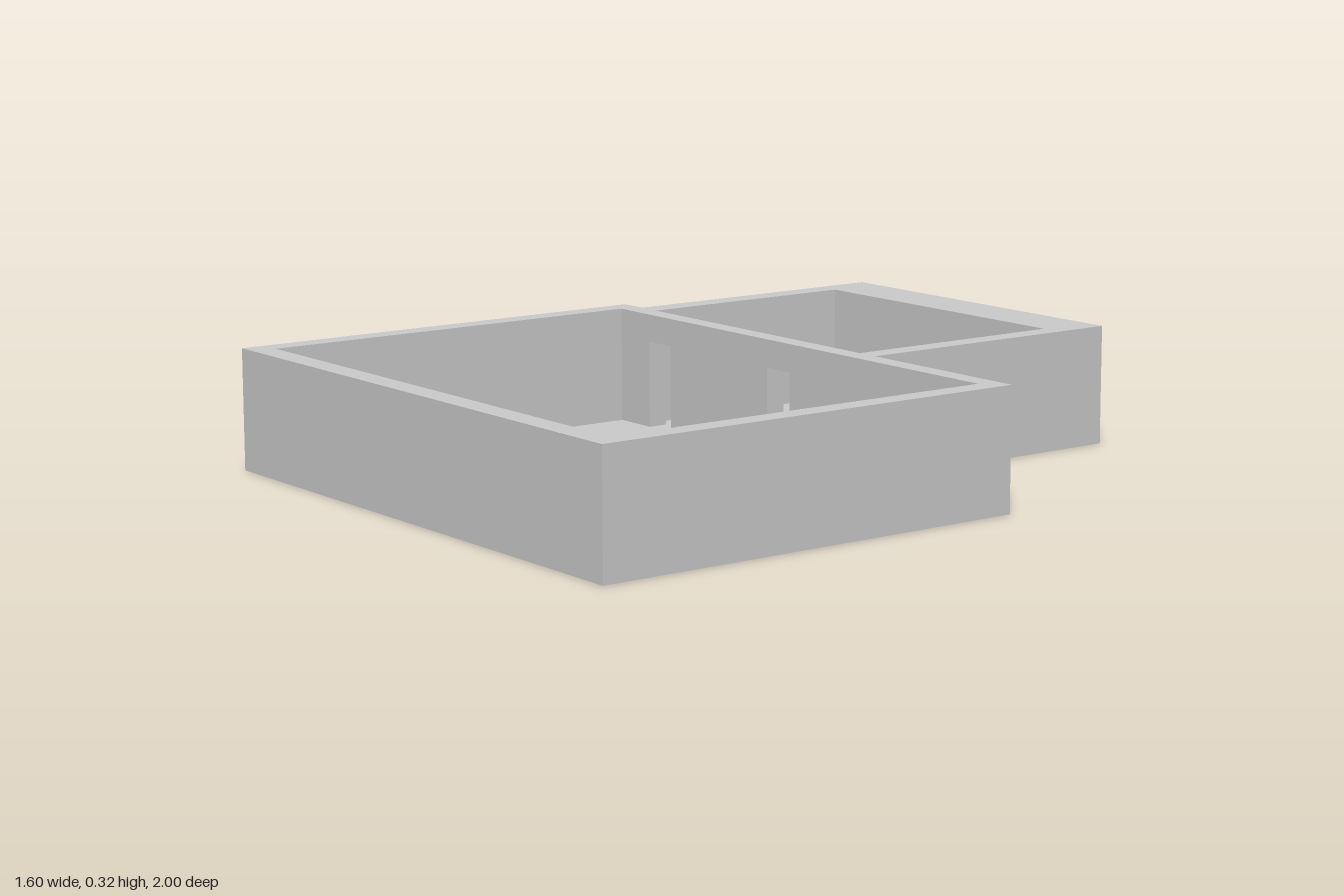
import * as THREE from 'three';

const material = new THREE.MeshStandardMaterial({ color: 0xcccccc, flatShading: true });
const FLOOR = 0.008, TOP = 0.32, DOOR_TOP = 0.245;
const BACK = -0.21; // outer face of the shared wall

const shapeOf = (points) => new THREE.Shape(points.map(([x, y]) => new THREE.Vector2(x, y)));

// Extrudes a plan given as [x, z] corners from height y0 to y1
function extrudePlan(name, plan, y0, y1) {
  const shape = shapeOf(plan.map(([x, z]) => [x, -z]));
  const geometry = new THREE.ExtrudeGeometry(shape, { depth: y1 - y0, bevelEnabled: false });
  geometry.rotateX(-Math.PI / 2).translate(0, y0, 0);
  const mesh = new THREE.Mesh(geometry, material);
  mesh.name = name;
  return mesh;
}

export function createModel() {
  const group = new THREE.Group();
  group.name = 'floorPlan';

  // Thin slab under both rooms
  group.add(extrudePlan('floor', [
    [-0.8, 1], [0.8, 1], [0.8, BACK], [0.285, BACK],
    [0.285, -1], [-0.72, -1], [-0.72, BACK], [-0.8, BACK],
  ], 0, FLOOR));

  // Three outer walls of the large room
  const inner = -0.155;
  group.add(extrudePlan('largeRoomWalls', [
    [-0.8, inner], [-0.8, 1], [0.8, 1], [0.8, inner],
    [0.74, inner], [0.74, 0.935], [-0.74, 0.935], [-0.74, inner],
  ], FLOOR, TOP));

  // Three outer walls of the small room
  group.add(extrudePlan('smallRoomWalls', [
    [-0.72, BACK], [-0.655, BACK], [-0.655, -0.845], [0.225, -0.845],
    [0.225, BACK], [0.285, BACK], [0.285, -1], [-0.72, -1],
  ], FLOOR, TOP));

  // Shared wall with two door openings cut up from the floor
  const outline = [[0.8, FLOOR], [0.8, TOP], [-0.8, TOP], [-0.8, FLOOR]];
  for (const [x0, x1] of [[-0.61, -0.513], [-0.088, 0.007]]) {
    outline.push([x0, FLOOR], [x0, DOOR_TOP], [x1, DOOR_TOP], [x1, FLOOR]);
  }
  const wall = new THREE.Mesh(
    new THREE.ExtrudeGeometry(shapeOf(outline), { depth: inner - BACK, bevelEnabled: false }),
    material,
  );
  wall.name = 'sharedWall';
  wall.position.z = BACK;
  group.add(wall);

  return group;
}
